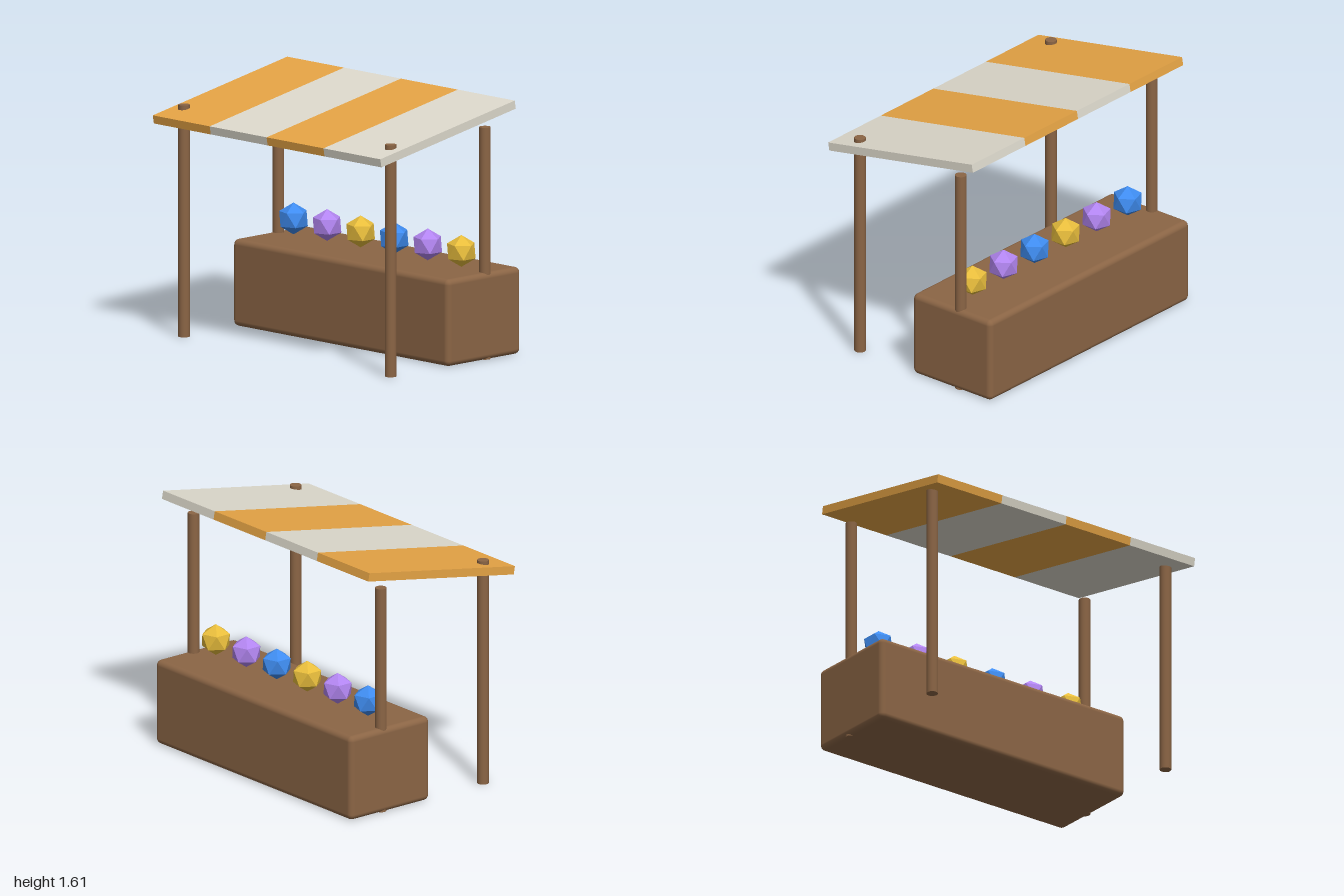
import * as THREE from 'three';
import { RoundedBoxGeometry } from 'three/addons/geometries/RoundedBoxGeometry.js';

const material = (color, flatShading = false) =>
  new THREE.MeshStandardMaterial({ color, flatShading });

export function createModel() {
  const model = new THREE.Group();
  model.name = 'marketStall';

  const add = (parent, name, geometry, mat, x, y, z) => {
    const mesh = new THREE.Mesh(geometry, mat);
    mesh.name = name;
    mesh.position.set(x, y, z);
    parent.add(mesh);
    return mesh;
  };

  const wood = material(0x8b6545);

  // Counter with softened edges
  add(model, 'counter', new RoundedBoxGeometry(1.9, 0.545, 0.635, 4, 0.035), wood, 0, 0.2725, -0.3175);

  // Four posts: the front pair pokes through the canopy, the rear pair stands in the counter
  const postHeight = 1.455;
  const postGeometry = new THREE.CylinderGeometry(0.036, 0.036, postHeight, 20);
  for (const [side, x] of [['left', 0.908], ['right', -0.908]]) {
    add(model, side + 'FrontPost', postGeometry, wood, x, postHeight / 2, 0.455);
    add(model, side + 'RearPost', postGeometry, wood, x, postHeight / 2, -0.36);
  }

  // Sloping canopy made of four striped panels
  const canopy = new THREE.Group();
  canopy.name = 'canopy';
  canopy.position.set(0, 1.478, 0.049);
  canopy.rotation.x = 0.18;
  model.add(canopy);
  const stripes = [material(0xe6a445), material(0xddd9cc)];
  const panelGeometry = new THREE.BoxGeometry(0.5, 0.053, 1.18);
  for (let i = 0; i < 4; i++) {
    add(canopy, 'canopyStripe' + (i + 1), panelGeometry, stripes[i % 2], -0.75 + i * 0.5, 0, 0);
  }

  // Row of faceted gems, each turned so a corner points straight up
  const gemMaterials = [0x3f8cf0, 0xb285f0, 0xe8bd3c].map((c) => material(c, true));
  const gemGeometry = new THREE.IcosahedronGeometry(0.1, 0);
  gemGeometry.rotateZ(-Math.atan(2 / (1 + Math.sqrt(5))));
  for (let i = 0; i < 6; i++) {
    add(model, 'gem' + (i + 1), gemGeometry, gemMaterials[i % 3], -0.73 + i * 0.295, 0.66, -0.316);
  }

  return model;
}
